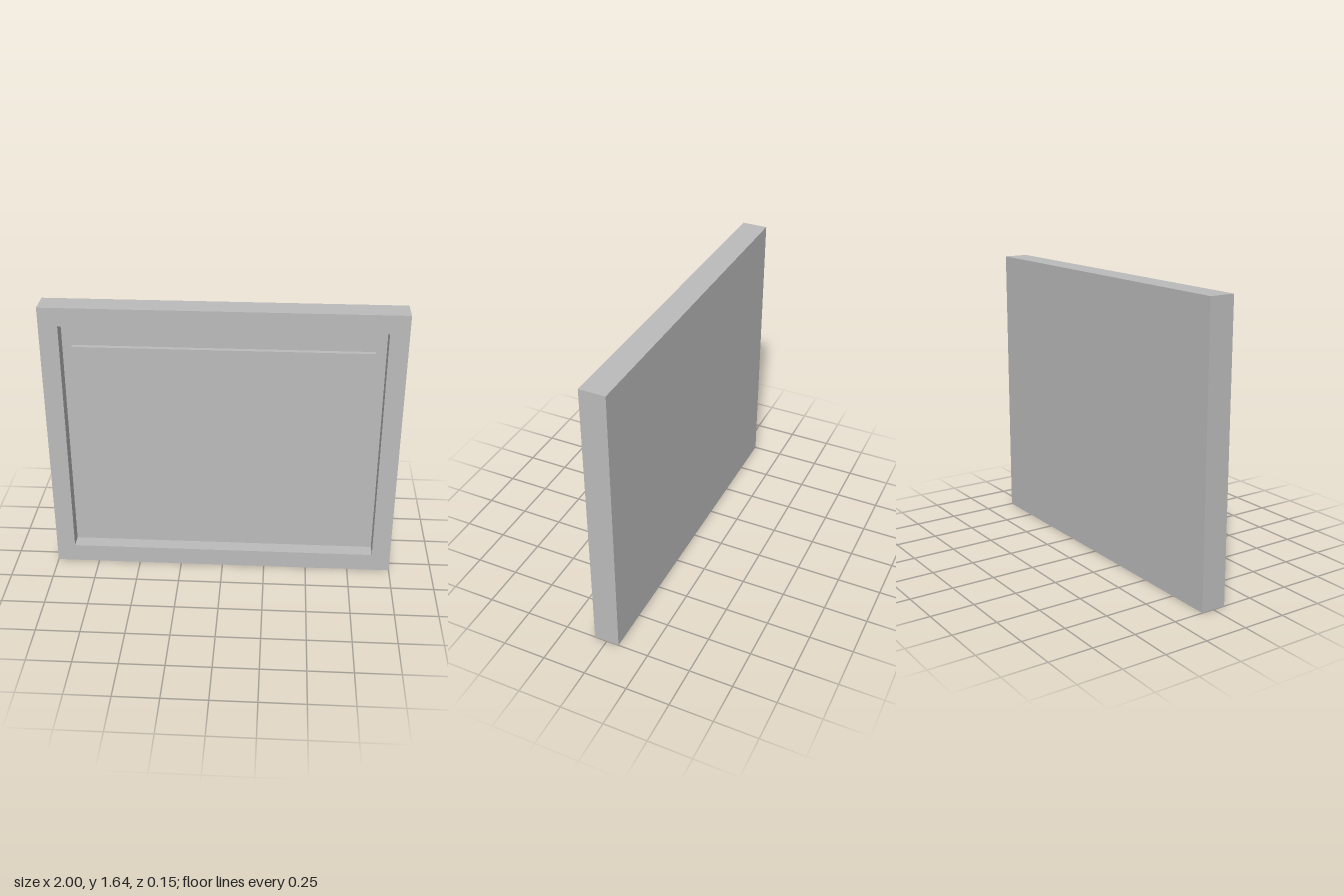
import * as THREE from 'three';

const W = 2, H = 1.64, FRONT = 0.073, BACK = -0.073;
const RECESS = -0.012; // depth of the mount inside the rim
const RIM = 0.107;

export function createModel() {
  const group = new THREE.Group();
  group.name = 'pictureFrame';
  const grey = new THREE.MeshStandardMaterial({ color: 0xbcbcbc });
  grey.name = 'plain grey';

  const add = (name, geometry, x, y, z) => {
    const mesh = new THREE.Mesh(geometry, grey);
    mesh.name = name;
    mesh.position.set(x, y, z);
    group.add(mesh);
  };

  const rectangle = (Type, w, h) => {
    const path = new Type();
    path.moveTo(-w / 2, -h / 2);
    path.lineTo(w / 2, -h / 2);
    path.lineTo(w / 2, h / 2);
    path.lineTo(-w / 2, h / 2);
    path.closePath();
    return path;
  };

  // Raised rim around the opening
  const rim = rectangle(THREE.Shape, W, H);
  rim.holes.push(rectangle(THREE.Path, W - 2 * RIM, H - 2 * RIM));
  add('rim', new THREE.ExtrudeGeometry(rim, { depth: FRONT - RECESS, bevelEnabled: false }), 0, H / 2, RECESS);

  // Backing slab, whose front shows as the mount
  add('backing', new THREE.BoxGeometry(W, H, RECESS - BACK), 0, H / 2, (RECESS + BACK) / 2);

  // Picture panel standing proud of the mount, set slightly low
  const panelDepth = 0.028;
  add('picturePanel', new THREE.BoxGeometry(1.67, 1.21, panelDepth), -0.003, 0.785, RECESS + panelDepth / 2);

  return group;
}
